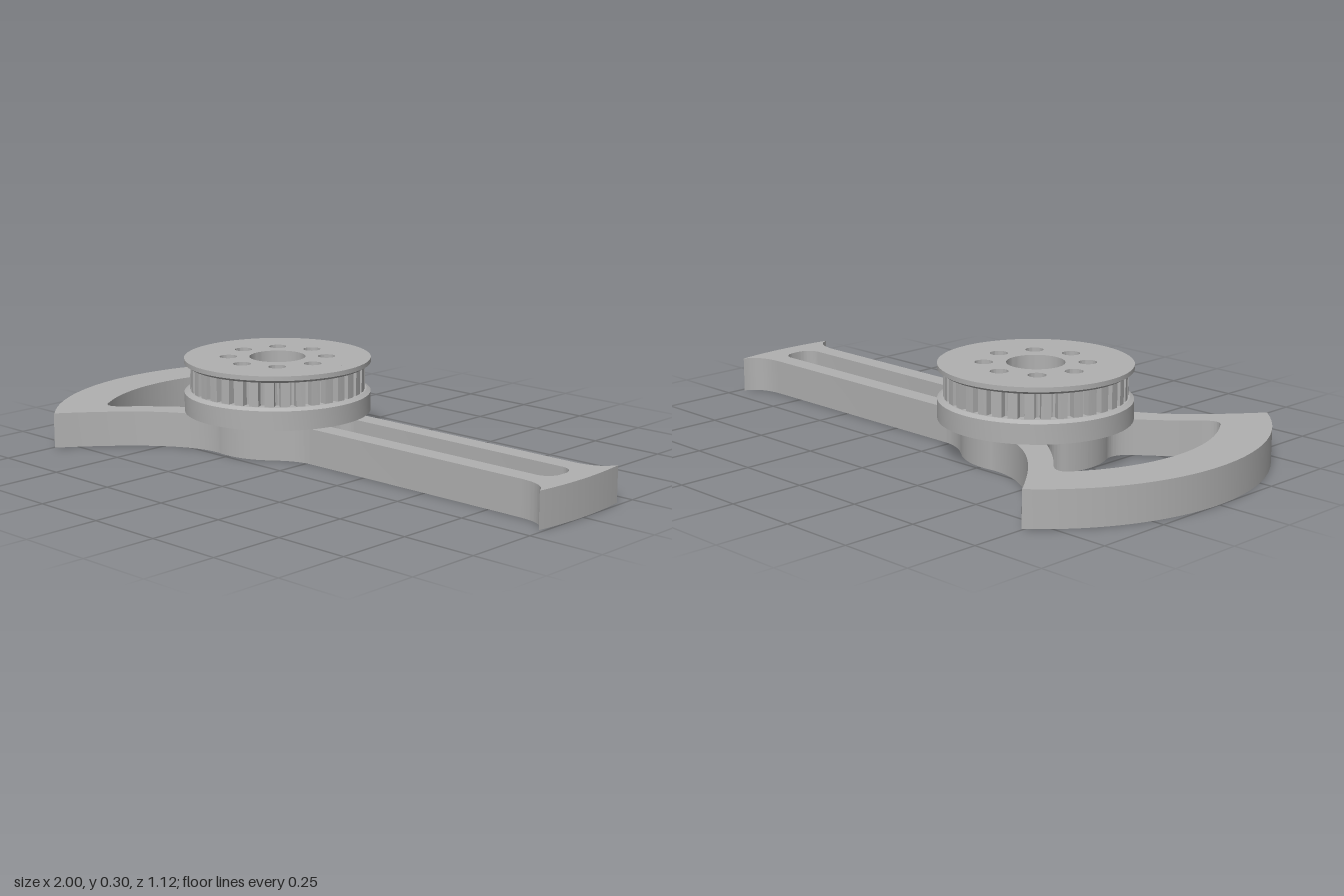
import * as THREE from 'three';
import { toCreasedNormals } from 'three/addons/utils/BufferGeometryUtils.js';

const CX = -0.26;          // pulley axis
const PLATE_TOP = 0.117;
const rad = THREE.MathUtils.degToRad;

// Closed outline from a half path that starts and ends on the x axis
function mirrored(half) {
  const pts = half.getPoints(24);
  const other = pts.slice(1, -1).reverse().map(p => new THREE.Vector2(p.x, -p.y));
  return pts.concat(other);
}

function circle(x, y, r) {
  return new THREE.Path().absarc(x, y, r, 0, Math.PI * 2, true);
}

// Bore and ring of eight bolt holes
function hubHoles() {
  const holes = [circle(CX, 0, 0.093)];
  for (let i = 0; i < 8; i++) {
    const a = i * Math.PI / 4;
    holes.push(circle(CX + 0.163 * Math.cos(a), 0.163 * Math.sin(a), 0.029));
  }
  return holes;
}

// Flat shape raised between two heights
function slab(shape, holes, y0, y1) {
  shape.holes.push(...holes);
  const g = new THREE.ExtrudeGeometry(shape, { depth: y1 - y0, bevelEnabled: false, curveSegments: 32 });
  g.rotateX(-Math.PI / 2).translate(0, y0, 0);
  return toCreasedNormals(g, 0.5);
}

// Plate: slotted arm, round hub and open fan-shaped counterweight
function plateGeometry() {
  const tip = new THREE.Vector2(-0.745, 0.562);
  const outer = new THREE.Path();
  outer.absarc(CX, 0, 1.26, 0, Math.asin(0.19 / 1.26));
  outer.bezierCurveTo(0.965, 0.145, 0.93, 0.127, 0.86, 0.127);
  outer.lineTo(0.02, 0.127);
  outer.quadraticCurveTo(-0.043, 0.127, CX + 0.235 * Math.cos(rad(50)), 0.235 * Math.sin(rad(50)));
  outer.absarc(CX, 0, 0.235, rad(50), rad(100));
  outer.quadraticCurveTo(-0.5, 0.22, tip.x, tip.y);
  outer.absarc(CX, 0, 0.74, Math.atan2(tip.y, tip.x - CX), Math.PI);

  const slot = new THREE.Path();
  slot.moveTo(0.925, 0);
  slot.absarc(0.875, 0.012, 0.05, 0, Math.PI / 2);
  slot.absarc(0.035, 0, 0.062, Math.PI / 2, Math.PI);

  const fan = new THREE.Path();
  fan.absarc(CX, 0, 0.235, Math.PI, rad(155), true);
  fan.quadraticCurveTo(-0.445, 0.15, -0.5, 0.2);
  fan.quadraticCurveTo(-0.59, 0.265, -0.66, 0.342);
  fan.quadraticCurveTo(-0.705, 0.385, -0.735, 0.335);
  fan.absarc(CX, 0, 0.58, Math.atan2(0.335, -0.475), Math.PI);

  const windows = [slot, fan].map(p => new THREE.Path(mirrored(p)));
  return slab(new THREE.Shape(mirrored(outer)), [...windows, ...hubHoles()], 0, PLATE_TOP);
}

// Toothed belt ring
function teethGeometry() {
  const n = 36, pts = [];
  const profile = [[-0.3, 0.291], [0, 0.291], [0.3, 0.291], [0.36, 0.268], [0.5, 0.264], [0.64, 0.268]];
  for (let i = 0; i < n; i++) {
    for (const [f, r] of profile) {
      const a = (i + f) / n * Math.PI * 2;
      pts.push(new THREE.Vector2(CX + r * Math.cos(a), r * Math.sin(a)));
    }
  }
  return slab(new THREE.Shape(pts), [circle(CX, 0, 0.25)], 0.185, 0.277);
}

// Flange ring turned from [radius, height] pairs
function flangeGeometry(profile) {
  const g = new THREE.LatheGeometry(profile.map(([r, y]) => new THREE.Vector2(r, y)), 72);
  return toCreasedNormals(g.translate(CX, 0, 0), 0.5);
}

export function createModel() {
  const gray = new THREE.MeshStandardMaterial({ color: 0xb0b0b0 });
  gray.name = 'gray';
  const model = new THREE.Group();
  model.name = 'pulleyArm';
  const add = (name, geometry, parent = model) => {
    const mesh = new THREE.Mesh(geometry, gray);
    mesh.name = name;
    parent.add(mesh);
  };

  add('armPlate', plateGeometry());

  const pulley = new THREE.Group();
  pulley.name = 'pulley';
  model.add(pulley);
  const core = new THREE.Shape().absarc(CX, 0, 0.26, 0, Math.PI * 2);
  add('pulleyCore', slab(core, hubHoles(), PLATE_TOP, 0.295), pulley);
  add('pulleyTeeth', teethGeometry(), pulley);
  add('lowerFlange', flangeGeometry([
    [0.259, PLATE_TOP], [0.31, PLATE_TOP], [0.31, 0.181], [0.296, 0.19], [0.259, 0.19]]), pulley);
  add('upperFlange', flangeGeometry([
    [0.259, 0.271], [0.296, 0.271], [0.31, 0.28], [0.31, 0.295], [0.259, 0.295]]), pulley);
  return model;
}
